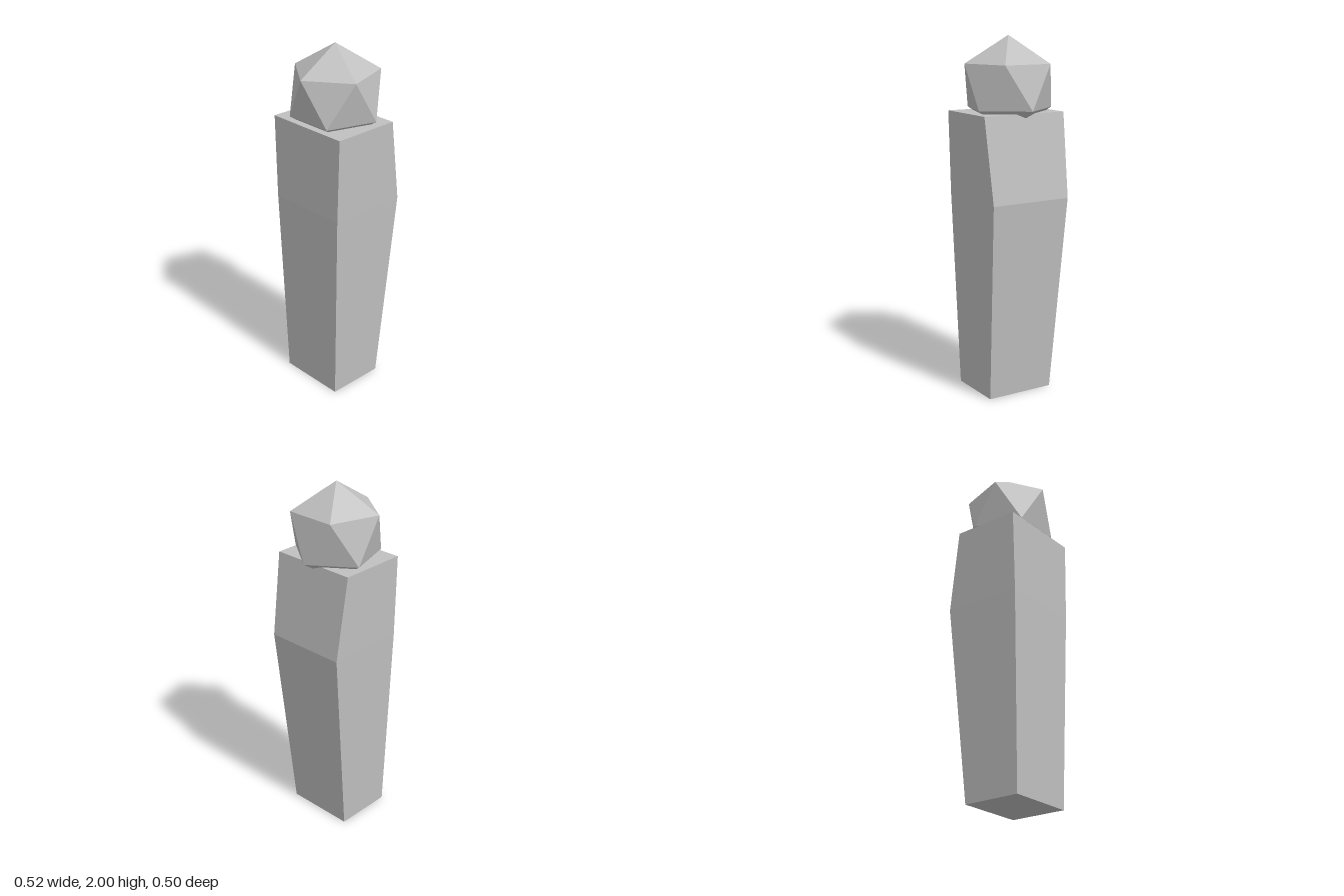
import * as THREE from 'three';

const TURN = THREE.MathUtils.degToRad(2.2); // slight twist of the whole figure

// Box whose horizontal rings are resized and shifted in z, bottom to top
function ringedBlock(rings) {
  const last = rings.length - 1;
  const box = new THREE.BoxGeometry(1, last, 1, 1, last, 1);
  const p = box.attributes.position;
  for (let i = 0; i < p.count; i++) {
    const r = rings[Math.round(p.getY(i) + last / 2)];
    p.setXYZ(i, p.getX(i) * r.width, r.y, p.getZ(i) * r.depth + r.z);
  }
  const flat = box.toNonIndexed();
  flat.computeVertexNormals();
  return flat;
}

export function createModel() {
  const group = new THREE.Group();
  const grey = new THREE.MeshStandardMaterial({ color: 0xc0c0c0 });
  grey.name = 'stone grey';

  // Tapered body, bulging at the back
  const body = new THREE.Mesh(ringedBlock([
    { y: 0, width: 0.398, depth: 0.333, z: 0.034 },
    { y: 1.12, width: 0.476, depth: 0.46, z: -0.01 },
    { y: 1.588, width: 0.503, depth: 0.388, z: 0.023 },
  ]), grey);
  body.name = 'body';
  body.rotation.y = TURN;
  group.add(body);

  // Faceted head, standing on one point, with one upper corner facing front
  const radius = 0.272;
  const headShape = new THREE.IcosahedronGeometry(radius, 0);
  headShape.rotateZ(Math.atan(2 / (1 + Math.sqrt(5))));
  headShape.rotateY(Math.PI / 2 + TURN);
  const head = new THREE.Mesh(headShape, grey);
  head.name = 'head';
  head.position.set(-0.005, 2 - radius, 0.003);
  group.add(head);

  return group;
}
